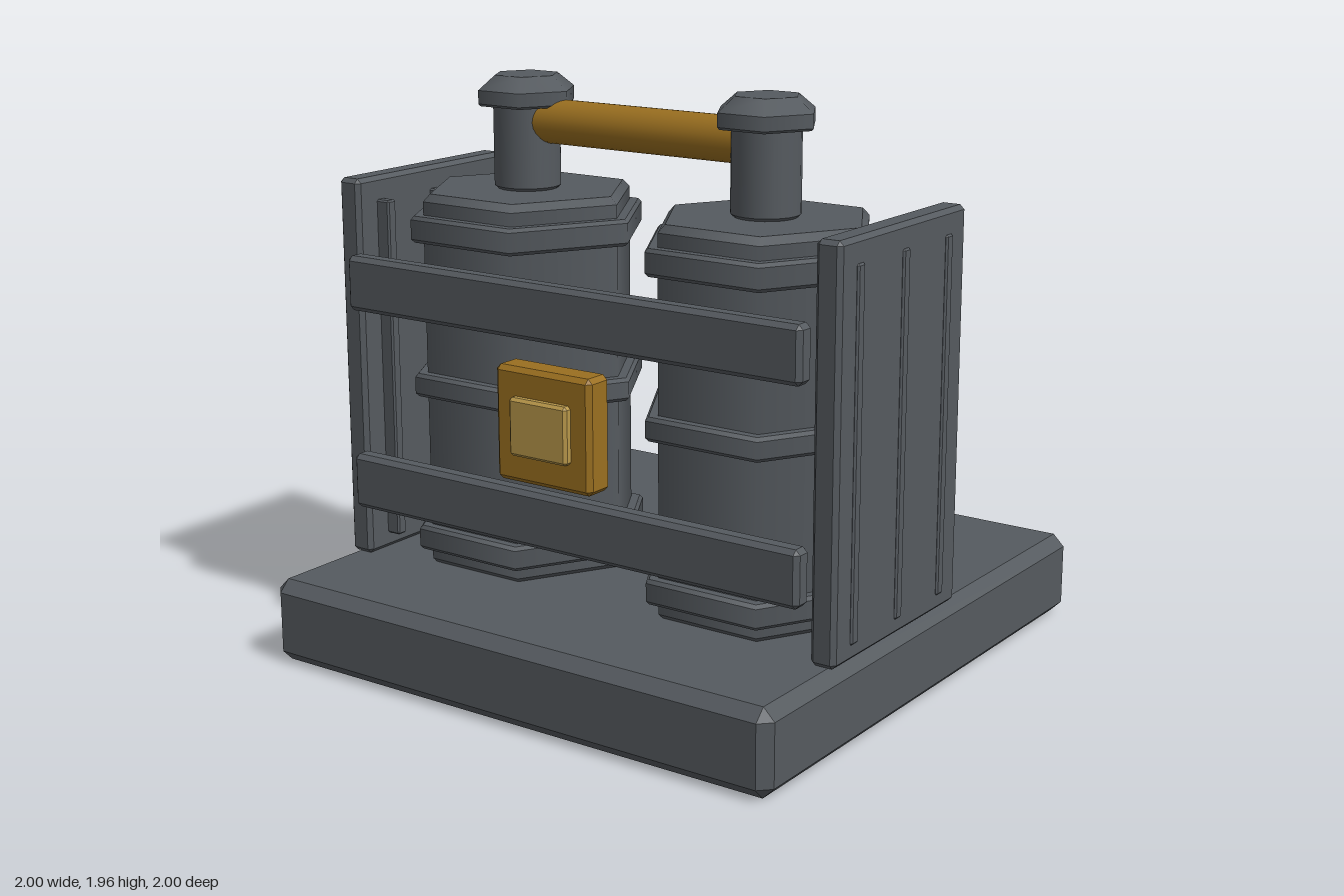
import * as THREE from 'three';
import { mergeGeometries } from 'three/addons/utils/BufferGeometryUtils.js';
import { ConvexGeometry } from 'three/addons/geometries/ConvexGeometry.js';

const mat = (name, color) => {
  const m = new THREE.MeshStandardMaterial({ color });
  m.name = name;
  return m;
};

// Box between two corners with every edge chamfered by c
function chamferBox([x0, y0, z0], [x1, y1, z1], c) {
  const h = [(x1 - x0) / 2, (y1 - y0) / 2, (z1 - z0) / 2];
  const points = [];
  for (const sx of [-1, 1]) for (const sy of [-1, 1]) for (const sz of [-1, 1]) {
    for (let axis = 0; axis < 3; axis++) {
      const d = h.map((v, i) => (i === axis ? v : v - c));
      points.push(new THREE.Vector3(sx * d[0], sy * d[1], sz * d[2]));
    }
  }
  return new ConvexGeometry(points).translate((x0 + x1) / 2, (y0 + y1) / 2, (z0 + z1) / 2);
}

// Stack of prism sections given as [radius, y] pairs, corners pointing along x
function stack(profile, sides) {
  const parts = [];
  for (let i = 0; i < profile.length - 1; i++) {
    const [r0, y0] = profile[i], [r1, y1] = profile[i + 1];
    const inner = i > 0 && i < profile.length - 2;
    const g = new THREE.CylinderGeometry(r1, r0, y1 - y0, sides, 1, inner);
    parts.push(g.rotateY(Math.PI / 6).translate(0, (y0 + y1) / 2, 0));
  }
  return mergeGeometries(parts);
}

// Straight prism with bevelled ends
const bevelled = (r, y0, y1, b, sides) =>
  stack([[r - b, y0], [r, y0 + b], [r, y1 - b], [r - b, y1]], sides);

export function createModel() {
  const model = new THREE.Group();
  model.name = 'twinTankUnit';
  const steel = mat('dark steel', 0x555a5f);
  const amber = mat('amber', 0x9a6f20);
  const paleAmber = mat('pale amber', 0xb8974a);

  const add = (name, geometry, material = steel, parent = model) => {
    const mesh = new THREE.Mesh(geometry, material);
    mesh.name = name;
    parent.add(mesh);
    return mesh;
  };

  // Base slab and rear housing
  add('base', chamferBox([-1, 0, -1], [1, 0.29, 1], 0.04));
  add('rearHousing', chamferBox([-0.38, 0.255, -1], [0.38, 1.23, -0.39], 0.065));

  for (const side of [-1, 1]) {
    const label = side > 0 ? 'left' : 'right';

    // Hexagonal tank with three flanges, a round neck and a bolt-like cap
    const tank = new THREE.Group();
    tank.name = label + 'Tank';
    tank.position.set(side * 0.48, 0, 0.227);
    model.add(tank);
    add('tankBody', bevelled(0.375, 0.28, 1.58, 0.025, 6), steel, tank);
    for (const [y0, y1] of [[0.345, 0.43], [0.89, 0.97], [1.42, 1.51]])
      add('tankFlange', bevelled(0.42, y0, y1, 0.012, 6), steel, tank);
    add('neck', bevelled(0.113, 1.57, 1.955, 0.02, 24), steel, tank);
    add('neckCap', stack([[0.165, 1.862], [0.172, 1.87], [0.172, 1.915], [0.112, 1.963]], 6), steel, tank);

    // Side panel with ribs passing through it
    const panel = new THREE.Group();
    panel.name = label + 'SidePanel';
    model.add(panel);
    const span = (a, b) => [Math.min(side * a, side * b), Math.max(side * a, side * b)];
    const [px0, px1] = span(0.9, 0.99);
    add('panelPlate', chamferBox([px0, 0.29, -0.15], [px1, 1.615, 0.615], 0.015), steel, panel);
    const [rx0, rx1] = span(0.85, 0.997);
    for (const z of [-0.037, 0.233, 0.503])
      add('panelRib', chamferBox([rx0, 0.345, z - 0.02], [rx1, 1.535, z + 0.02], 0.006), steel, panel);
  }

  // Pipe joining the two necks
  add('crossPipe', new THREE.CylinderGeometry(0.075, 0.075, 0.9, 24)
    .rotateZ(Math.PI / 2).translate(0, 1.812, 0.228), amber);

  // Front guard rails
  for (const [y0, y1] of [[0.485, 0.675], [1.18, 1.368]])
    add('frontRail', chamferBox([-0.9, y0, 0.615], [0.9, y1, 0.687], 0.016));

  // Control box with raised face
  add('controlBox', chamferBox([-0.19, 0.735, 0.665], [0.19, 1.115, 0.773], 0.016), amber);
  add('controlFace', chamferBox([-0.115, 0.83, 0.74], [0.115, 1.022, 0.8], 0.01), paleAmber);

  return model;
}
